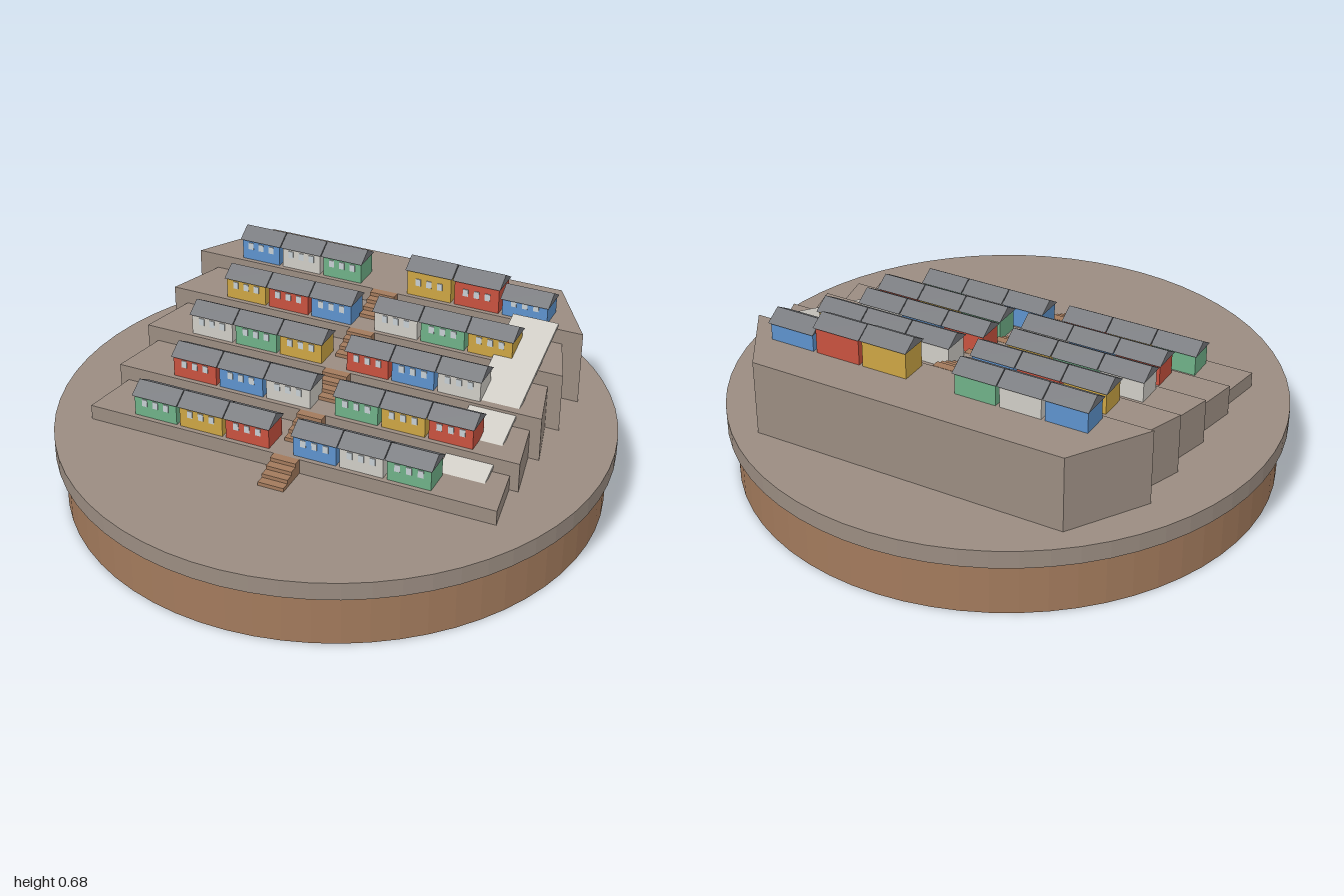
import * as THREE from 'three';

const mat = (name, color) => {
  const m = new THREE.MeshStandardMaterial({ color, flatShading: true });
  m.name = name;
  return m;
};

export function createModel() {
  const model = new THREE.Group();
  model.name = 'hillsideVillage';
  const earth = mat('earthBrown', 0xa27a5c);
  const stone = mat('stone', 0x9a8c81);
  const roofGrey = mat('roofGrey', 0x75777b);
  const white = mat('plasterWhite', 0xcfccc5);
  const glass = mat('windowPale', 0xc6ced2);
  const walls = [
    mat('wallGreen', 0x6fb088), mat('wallYellow', 0xcca544), mat('wallRed', 0xc8523f),
    mat('wallBlue', 0x5d92cc), white,
  ];

  const add = (parent, name, geo, material, x = 0, y = 0, z = 0) => {
    const mesh = new THREE.Mesh(geo, material);
    mesh.name = name;
    mesh.position.set(x, y, z);
    parent.add(mesh);
    return mesh;
  };

  // Round plinth
  add(model, 'plinth', new THREE.CylinderGeometry(0.97, 0.97, 0.2, 64), earth, 0, 0.1, 0);
  add(model, 'groundDisc', new THREE.CylinderGeometry(1, 1, 0.066, 64), stone, 0, 0.233, 0);

  // Everything on the disc is turned together
  const hill = new THREE.Group();
  hill.name = 'hill';
  hill.rotation.y = -THREE.MathUtils.degToRad(20.1);
  model.add(hill);

  const ground = 0.266, rise = 0.0558, backZ = -0.697;
  const frontZ = (row) => 0.41 - row * 0.2075;
  const topY = (row) => ground + rise * (row + 1);

  // Terraces, all narrowing to the same back wall
  for (let row = 0; row < 5; row++) {
    const f = frontZ(row);
    const outline = new THREE.Shape([
      new THREE.Vector2(-0.764, -f), new THREE.Vector2(0.764, -f),
      new THREE.Vector2(0.59, -backZ), new THREE.Vector2(-0.59, -backZ),
    ]);
    const geo = new THREE.ExtrudeGeometry(outline, { depth: rise * (row + 1), bevelEnabled: false });
    geo.rotateX(-Math.PI / 2);
    add(hill, 'terrace' + (row + 1), geo, stone, 0, ground, 0);
  }

  // A short flight of steps in front of each terrace
  const steps = 4, tread = 0.031;
  for (let row = 0; row < 5; row++) {
    const flight = new THREE.Group();
    flight.name = 'stairFlight' + (row + 1);
    for (let i = 0; i < steps; i++) {
      const h = (rise * (i + 1)) / steps;
      add(flight, 'step', new THREE.BoxGeometry(0.096, h, tread), earth,
        0.005, h / 2, (steps - i - 0.5) * tread);
    }
    flight.position.set(0, topY(row) - rise + 0.001, frontZ(row));
    hill.add(flight);
  }

  // Long pale ramp climbing over the terraces
  const run = 0.705, climb = 0.25;
  const ramp = add(hill, 'ramp', new THREE.BoxGeometry(0.17, 0.012, Math.hypot(run, climb)),
    white, 0.587, 0.439, -0.068);
  ramp.rotation.x = Math.atan2(climb, run);

  // House with a gabled roof, its ridge running sideways
  const depth = 0.118;
  function house(w, h, wallMat) {
    const g = new THREE.Group();
    const bodyW = w - 0.014, bodyD = depth - 0.018;
    add(g, 'walls', new THREE.BoxGeometry(bodyW, h, bodyD), wallMat, 0, h / 2, 0);
    const gable = new THREE.Shape([
      new THREE.Vector2(-depth / 2, 0), new THREE.Vector2(depth / 2, 0), new THREE.Vector2(0, 0.036),
    ]);
    const roof = new THREE.ExtrudeGeometry(gable, { depth: w - 0.003, bevelEnabled: false });
    roof.translate(0, 0, -(w - 0.003) / 2);
    roof.rotateY(Math.PI / 2);
    add(g, 'roof', roof, roofGrey, 0, h, 0);
    for (const x of [-0.042, 0, 0.042]) {
      add(g, 'window', new THREE.BoxGeometry(0.02, 0.027, 0.004), glass, x, 0.056, bodyD / 2 + 0.001);
    }
    return g;
  }

  // Start and end of the left and right blocks in each row
  const blocks = [
    [-0.600, -0.063, 0.015, 0.533],
    [-0.557, -0.006, 0.075, 0.597],
    [-0.593, -0.060, 0.024, 0.541],
    [-0.557, -0.040, 0.038, 0.577],
    [-0.596, -0.095, 0.077, 0.630],
  ];
  const heights = { '4-3': 0.1, '4-4': 0.098, '4-5': 0.066 };
  blocks.forEach((b, row) => {
    for (let i = 0; i < 6; i++) {
      const side = i < 3 ? 0 : 2;
      const w = (b[side + 1] - b[side]) / 3;
      const h = heights[row + '-' + i] ?? 0.08;
      const home = house(w, h, walls[(row * 2 + i) % 5]);
      home.name = 'house' + (row + 1) + '_' + (i + 1);
      home.position.set(b[side] + w * ((i % 3) + 0.5), topY(row), frontZ(row) - 0.067);
      hill.add(home);
    }
  });

  return model;
}
